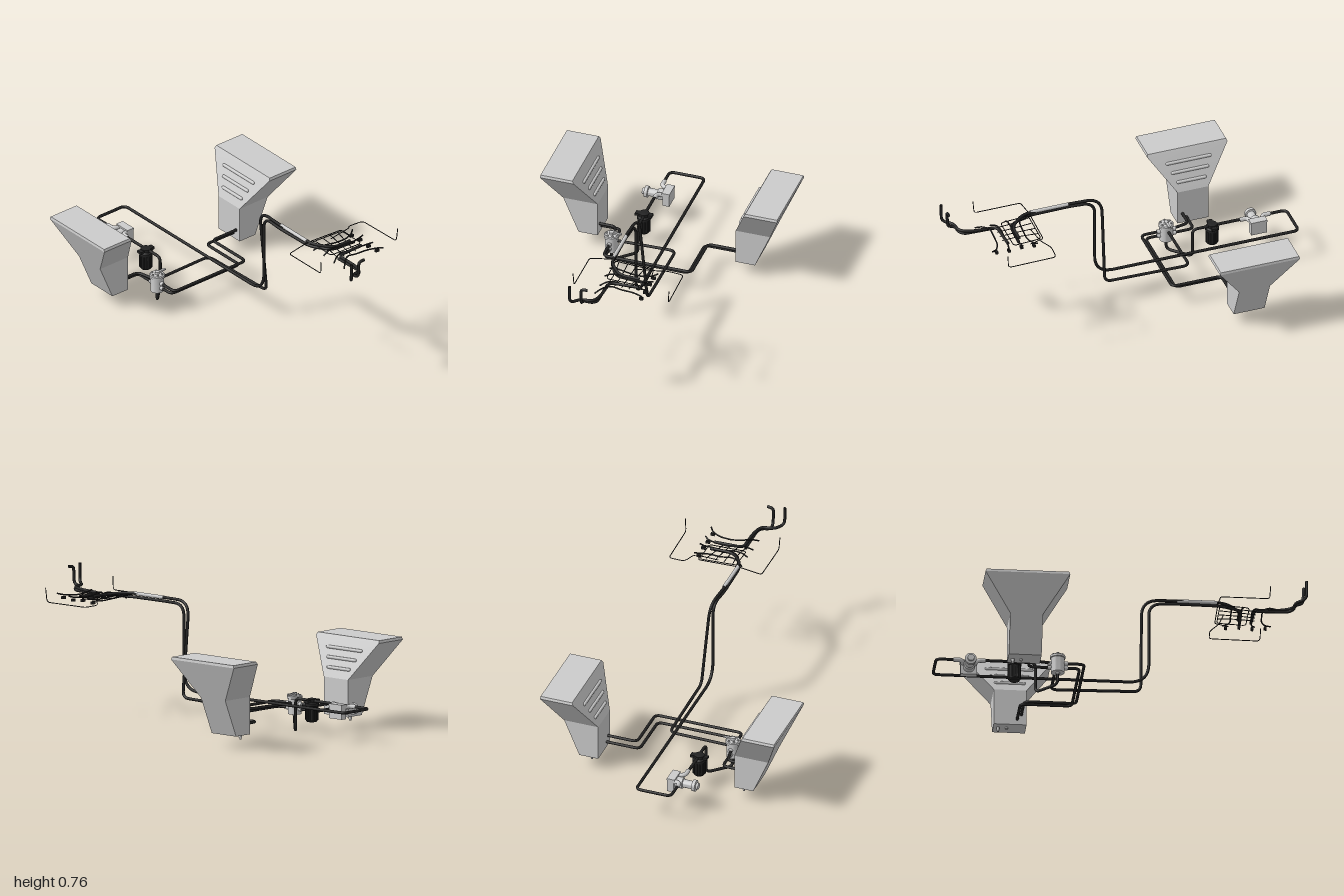
import * as THREE from 'three';
import { toCreasedNormals } from 'three/addons/utils/BufferGeometryUtils.js';

const grey = new THREE.MeshStandardMaterial({ color: 0xcccccc });
const black = new THREE.MeshStandardMaterial({ color: 0x222222, side: THREE.DoubleSide });
const V = (p) => new THREE.Vector3(...p);

function add(parent, name, geo, mat, pos = [0, 0, 0]) {
  const m = new THREE.Mesh(geo, mat);
  m.name = name;
  m.position.set(...pos);
  parent.add(m);
  return m;
}

// Tube through straight runs with rounded corners
function pipe(parent, name, pts, r = 0.008, bend = 0.03, mat = black) {
  const p = pts.map(V), path = new THREE.CurvePath();
  let last = p[0];
  for (let i = 1; i < p.length - 1; i++) {
    const toPrev = p[i - 1].clone().sub(p[i]), toNext = p[i + 1].clone().sub(p[i]);
    const d = Math.min(Array.isArray(bend) ? bend[i - 1] : bend, toPrev.length() * 0.48, toNext.length() * 0.48);
    const a = p[i].clone().addScaledVector(toPrev.normalize(), d);
    const b = p[i].clone().addScaledVector(toNext.normalize(), d);
    path.add(new THREE.LineCurve3(last, a));
    path.add(new THREE.QuadraticBezierCurve3(a, p[i], b));
    last = b;
  }
  path.add(new THREE.LineCurve3(last, p[p.length - 1]));
  const n = Math.max(8, Math.ceil(path.getLength() / 0.009));
  return add(parent, name, new THREE.TubeGeometry(path, n, r, r < 0.004 ? 5 : 10), mat);
}

// Upright turned part from [radius, height] pairs
function turned(parent, name, profile, mat, pos) {
  const geo = new THREE.LatheGeometry(profile.map(([x, y]) => new THREE.Vector2(x, y)), 24);
  return add(parent, name, toCreasedNormals(geo, 0.6), mat, pos);
}

// Solid lofted through rectangles [y, x0, x1, zFront, zBack]
function loft(rings) {
  const pos = [], idx = [];
  for (const [y, x0, x1, zf, zb] of rings) pos.push(x0, y, zf, x1, y, zf, x1, y, zb, x0, y, zb);
  for (let r = 0; r < rings.length - 1; r++)
    for (let i = 0; i < 4; i++) {
      const a = r * 4 + i, b = r * 4 + (i + 1) % 4;
      idx.push(a, b, b + 4, a, b + 4, a + 4);
    }
  const t = (rings.length - 1) * 4;
  idx.push(0, 2, 1, 0, 3, 2, t, t + 1, t + 2, t, t + 2, t + 3);
  const g = new THREE.BufferGeometry();
  g.setAttribute('position', new THREE.Float32BufferAttribute(pos, 3));
  g.setIndex(idx);
  return toCreasedNormals(g, 0.2);
}

function fuelTank(side) {
  const g = new THREE.Group();
  g.name = side > 0 ? 'leftTank' : 'rightTank';
  const rings = [
    [0.075, 0.385, 0.492, -0.462, -0.636], [0.275, 0.385, 0.577, -0.462, -0.636],
    [0.475, 0.474, 0.662, -0.325, -0.775], [0.489, 0.482, 0.66, -0.33, -0.77],
  ].map(([y, a, b, f, k]) => (side > 0 ? [y, a, b, f, k] : [y, -b, -a, f, k]));
  add(g, 'tankShell', loft(rings), grey);
  // stiffening ribs on the sloping inner face
  for (let i = 0; i < 3; i++) {
    const t = 0.25 + i * 0.25;
    const rib = add(g, 'tankRib', new THREE.CapsuleGeometry(0.009, 0.15 + 0.045 * i, 4, 10), grey,
      [side * (0.385 + 0.089 * t), 0.275 + 0.2 * t, -0.549]);
    rib.rotation.x = Math.PI / 2;
  }
  // drain fitting and plug
  turned(g, 'drain', [[0, 0.05], [0.006, 0.05], [0.006, 0.06], [0.009, 0.06], [0.009, 0.076]], grey, [side * 0.43, 0, -0.61]);
  turned(g, 'drainPlug', [[0, 0.067], [0.008, 0.067], [0.008, 0.076]], grey, [side * 0.43, 0, -0.565]);
  return g;
}

export function createModel() {
  const root = new THREE.Group();
  root.name = 'fuelSystem';
  root.add(fuelTank(1), fuelTank(-1));

  // Paired lines from each tank to the selector valve
  [[0.133, -0.215, 0.22, -0.49], [0.107, -0.24, 0.197, -0.512]].forEach(([y, z, x, zt]) => {
    pipe(root, 'leftTankLine', [[0.39, y, zt], [x, y, zt], [x, y, z], [-0.272, y, z], [-0.272, y, -0.33]]);
    pipe(root, 'rightTankLine', [[-0.39, y, zt], [-0.272 - (zt + 0.512), y, zt], [-0.272, y, -0.38]]);
  });

  // Selector valve with ports and top screws
  const valve = new THREE.Group();
  valve.name = 'selectorValve';
  valve.position.set(-0.272, 0, -0.357);
  root.add(valve);
  turned(valve, 'valveBody', [[0, 0.07], [0.012, 0.07], [0.012, 0.078], [0.036, 0.078], [0.036, 0.16], [0.041, 0.162],
    [0.041, 0.174], [0.036, 0.178], [0.012, 0.178], [0.012, 0.192], [0, 0.192]], grey, [0, 0, 0]);
  for (let i = 0; i < 6; i++) {
    const a = i * Math.PI / 3;
    add(valve, 'valveScrew', new THREE.CylinderGeometry(0.005, 0.005, 0.008, 6), grey, [0.028 * Math.cos(a), 0.181, 0.028 * Math.sin(a)]);
  }
  for (const y of [0.133, 0.107])
    for (const s of [1, -1]) {
      const port = add(valve, 'valvePort', new THREE.CylinderGeometry(0.012, 0.012, 0.022, 12), grey, [0, y, s * 0.042]);
      port.rotation.x = Math.PI / 2;
    }
  add(valve, 'valveLever', new THREE.BoxGeometry(0.06, 0.008, 0.012), grey, [0.025, 0.186, 0]);

  // Line from valve, under and up into the filter
  pipe(root, 'filterLine', [[-0.272, 0.08, -0.357], [-0.272, 0.013, -0.357], [-0.16, 0.013, -0.465],
    [-0.16, 0.185, -0.465], [-0.16, 0.185, -0.56]]);

  // Black filter canister with side fittings
  const filter = new THREE.Group();
  filter.name = 'fuelFilter';
  filter.position.set(-0.165, 0, -0.577);
  root.add(filter);
  turned(filter, 'filterCanister', [[0, 0.072], [0.026, 0.072], [0.032, 0.08], [0.032, 0.155], [0.037, 0.158],
    [0.037, 0.172], [0.028, 0.178], [0.028, 0.194], [0.012, 0.198], [0, 0.198]], black, [0, 0, 0]);
  for (let i = 0; i < 12; i++) {
    const a = i * Math.PI / 6;
    add(filter, 'filterFlute', new THREE.CylinderGeometry(0.004, 0.004, 0.07, 6), black, [0.032 * Math.cos(a), 0.118, 0.032 * Math.sin(a)]);
  }
  add(filter, 'filterBracket', new THREE.BoxGeometry(0.095, 0.014, 0.03), black, [0, 0.183, 0]);

  // Pump: square housing, horizontal motor, flange and elbows
  const pump = new THREE.Group();
  pump.name = 'fuelPump';
  pump.position.set(0, 0, -0.815);
  root.add(pump);
  add(pump, 'pumpHousing', new THREE.BoxGeometry(0.036, 0.072, 0.088), grey, [-0.108, 0.156, 0]);
  add(pump, 'pumpLid', new THREE.BoxGeometry(0.044, 0.01, 0.092), grey, [-0.11, 0.194, 0]);
  const motor = turned(pump, 'pumpMotor', [[0, 0], [0.018, 0], [0.018, 0.012], [0.031, 0.014], [0.031, 0.032],
    [0.022, 0.034], [0.022, 0.085], [0.03, 0.087], [0.03, 0.13], [0, 0.13]], grey, [-0.252, 0.16, 0]);
  motor.rotation.z = -Math.PI / 2;
  for (const s of [1, -1]) {
    pipe(pump, 'pumpElbow', [[-0.16, 0.185, s * 0.085], [-0.16, 0.185, s * 0.04], [-0.115, 0.18, s * 0.03]], 0.012, 0.03, grey);
  }
  pipe(root, 'pumpInlet', [[-0.162, 0.185, -0.6], [-0.162, 0.185, -0.74]]);

  // Long supply line, looping behind and rising to the engine
  pipe(root, 'supplyLine', [[-0.16, 0.185, -0.89], [-0.16, 0.185, -0.992], [0.036, 0.185, -0.992], [0.036, 0.185, 0.155],
    [0.036, 0.645, 0.155], [0.025, 0.645, 0.3], [0.03, 0.645, 0.54], [0.09, 0.65, 0.65], [0.24, 0.645, 0.655]],
  0.008, [0.03, 0.03, 0.11, 0.1, 0.04, 0.04, 0.04]);

  // Return line with the leaning riser
  pipe(root, 'returnLine', [[-0.25, 0.14, -0.36], [0.085, 0.145, -0.36], [0.087, 0.155, 0.117], [0.038, 0.665, 0.117],
    [0.028, 0.665, 0.3], [0.035, 0.665, 0.56], [0.11, 0.655, 0.645], [0.22, 0.655, 0.645]],
  0.008, [0.04, 0.04, 0.11, 0.04, 0.04, 0.04]);

  // Sleeve around the return line
  const sleeve = add(root, 'lineSleeve', new THREE.CylinderGeometry(0.01, 0.01, 0.21, 12), grey, [0.031, 0.665, 0.41]);
  sleeve.rotation.x = Math.PI / 2;

  // Front hoses turning up
  pipe(root, 'frontHose', [[0.24, 0.65, 0.715], [0.08, 0.65, 0.72], [0.075, 0.655, 0.86], [0.055, 0.66, 0.925],
    [-0.015, 0.66, 0.93], [-0.055, 0.665, 0.985], [-0.055, 0.768, 0.985]]);
  pipe(root, 'frontHose', [[0.07, 0.64, 0.73], [0.07, 0.645, 0.9], [0.05, 0.65, 0.925], [0.003, 0.655, 0.93],
    [0.005, 0.665, 0.97], [0.005, 0.757, 0.975], [0.04, 0.76, 0.977]]);

  // Injector harness: rails, frame, side leads and splayed branches
  const harness = new THREE.Group();
  harness.name = 'injectorHarness';
  root.add(harness);
  pipe(harness, 'harnessFrame', [[0.05, 0.66, 0.535], [0.255, 0.65, 0.535], [0.26, 0.645, 0.69], [0.05, 0.65, 0.69], [0.05, 0.66, 0.535]], 0.0025, 0.02);
  pipe(harness, 'sideLead', [[-0.102, 0.712, 0.79], [-0.098, 0.64, 0.785], [-0.098, 0.64, 0.525], [0.03, 0.66, 0.522], [0.26, 0.65, 0.525], [0.27, 0.64, 0.6]], 0.0025, 0.015);
  pipe(harness, 'sideLead', [[0.432, 0.712, 0.785], [0.426, 0.635, 0.78], [0.42, 0.635, 0.51], [0.33, 0.637, 0.505], [0.29, 0.66, 0.55], [0.16, 0.65, 0.56]], 0.0025, 0.02);
  for (let i = 0; i < 4; i++) {
    const z = 0.6 + i * 0.055, end = 0.57 + i * 0.085, y = 0.645 + 0.006 * (i % 2);
    pipe(harness, 'rightBranch', [[0.16, y, z], [0.23, y, z + 0.005], [0.28, y + 0.005, (z + end) / 2], [0.3, y + 0.012, end]], 0.004, 0.04);
    pipe(harness, 'leftBranch', [[0.16, y, z], [0.1, y + 0.012, z], [0.06, y + 0.008, (z + end) / 2], [0.03, y - 0.012, end]], 0.004, 0.04);
    add(harness, 'injectorPlug', new THREE.BoxGeometry(0.022, 0.014, 0.014), black, [0.28, y - 0.01, (z + end) / 2]);
    pipe(harness, 'crossLead', [[0.07 + i * 0.05, 0.66, 0.54], [0.08 + i * 0.04, 0.652, 0.64], [0.07 + i * 0.04, 0.64, 0.73]], 0.0025, 0.04);
  }
  return root;
}
